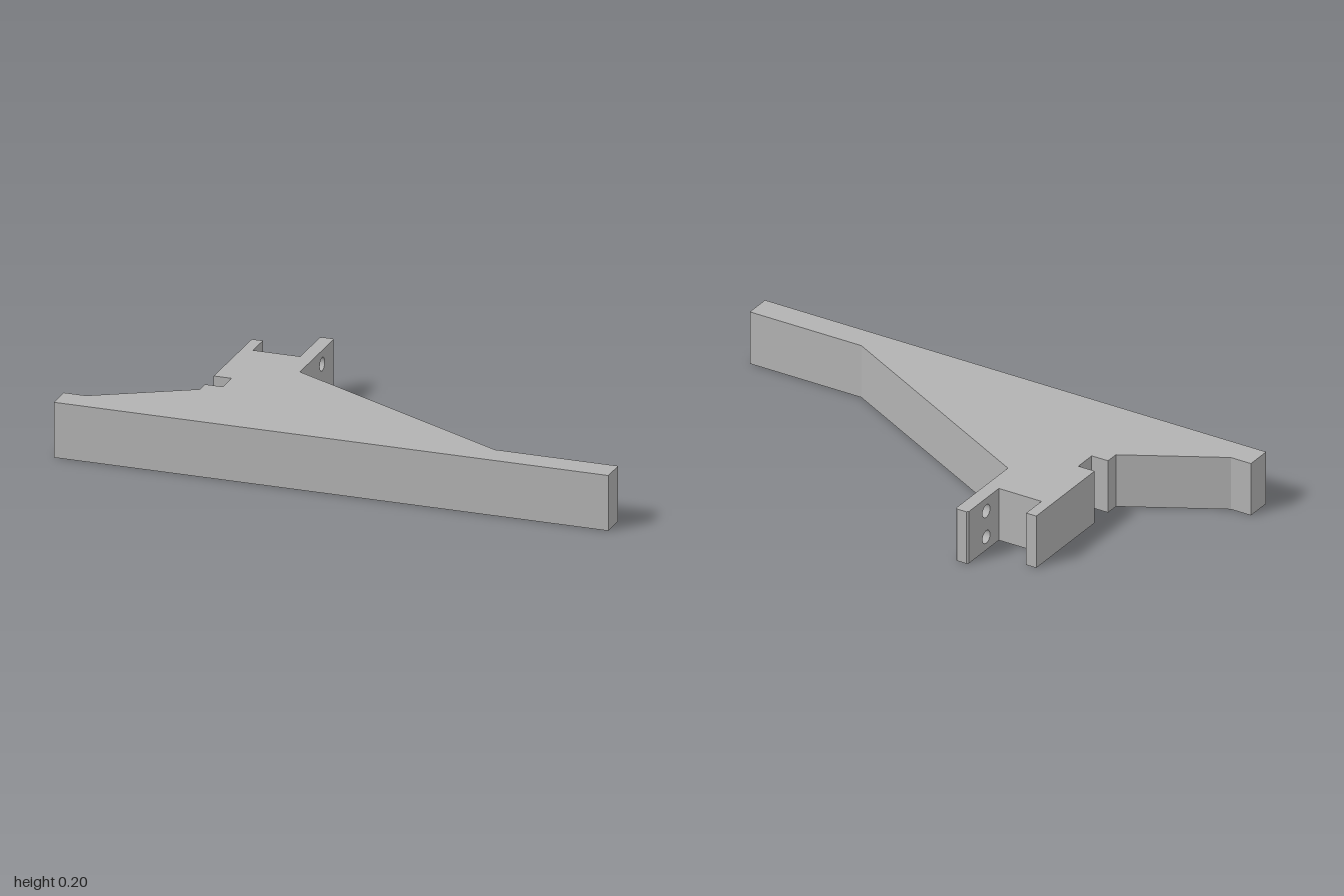
import * as THREE from 'three';

const HEIGHT = 0.2;

// Extrudes a plan outline of [x, z] points upwards from y = 0
function planSlab(points, name, material) {
  const shape = new THREE.Shape(points.map(([x, z]) => new THREE.Vector2(x, -z)));
  const geometry = new THREE.ExtrudeGeometry(shape, { depth: HEIGHT, bevelEnabled: false });
  geometry.rotateX(-Math.PI / 2);
  const mesh = new THREE.Mesh(geometry, material);
  mesh.name = name;
  return mesh;
}

export function createModel() {
  const group = new THREE.Group();
  group.name = 'bracket';
  const grey = new THREE.MeshStandardMaterial({ color: 0xb2b2b2 });
  grey.name = 'grey';

  // Base bar, sloping web, side notch and short prong
  group.add(planSlab([
    [-1, 0.447], [1, 0.447], [1, 0.35], [0.555, 0.35], [-0.32, -0.113],
    [-0.32, -0.25], [-0.54, -0.25], [-0.54, -0.347], [-0.58, -0.347],
    [-0.58, 0.025], [-0.515, 0.025], [-0.515, 0.11], [-0.58, 0.11],
    [-0.58, 0.16], [-0.92, 0.35], [-1, 0.35],
  ], 'body', grey));

  // Long prong with two through holes
  const side = new THREE.Shape([
    new THREE.Vector2(0.25, 0), new THREE.Vector2(0.441, 0),
    new THREE.Vector2(0.441, HEIGHT), new THREE.Vector2(0.25, HEIGHT),
  ]);
  for (const y of [0.05, 0.15]) {
    side.holes.push(new THREE.Path().absarc(0.33, y, 0.024, 0, Math.PI * 2, true));
  }
  const prongGeometry = new THREE.ExtrudeGeometry(side, { depth: 0.05, bevelEnabled: false, curveSegments: 32 });
  prongGeometry.rotateY(Math.PI / 2);
  const prong = new THREE.Mesh(prongGeometry, grey);
  prong.name = 'drilledProng';
  prong.position.x = -0.37;
  group.add(prong);

  // Chamfered end of the long prong
  group.add(planSlab([
    [-0.37, -0.441], [-0.32, -0.441], [-0.326, -0.447], [-0.364, -0.447],
  ], 'prongTip', grey));

  return group;
}
